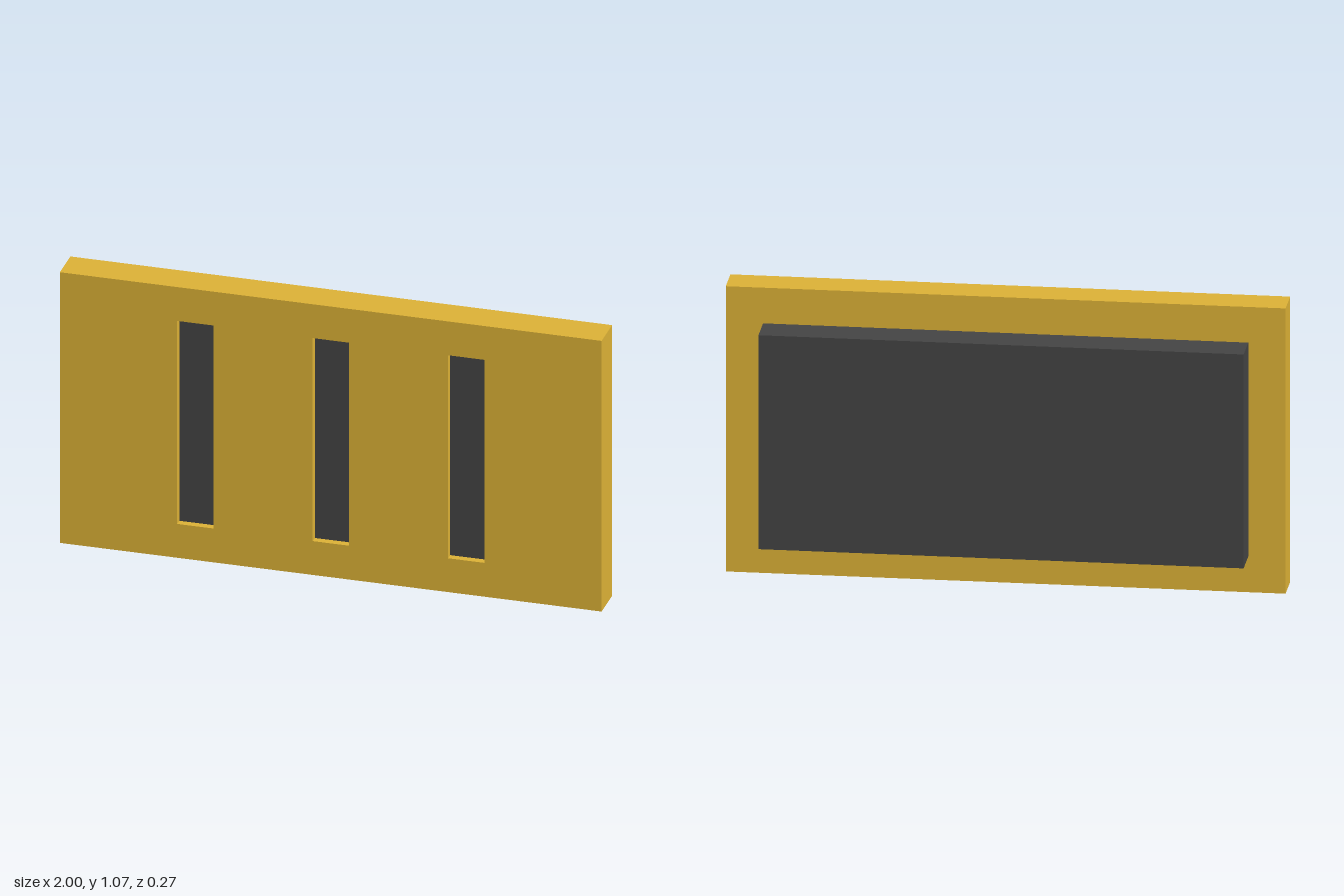
import * as THREE from 'three';

const U = 2 / 15;          // base unit: plate thickness, slot width and margin
const W = 15 * U, H = 8 * U;
const SLOT_H = 6 * U;
const RECESS = 0.2 * U;    // depth of the open slot in front of its bar

// Rectangle outline from its lower-left corner
function rect(target, x, y, w, h) {
  target.moveTo(x, y);
  target.lineTo(x + w, y);
  target.lineTo(x + w, y + h);
  target.lineTo(x, y + h);
  target.closePath();
  return target;
}

export function createModel() {
  const group = new THREE.Group();
  const yellow = new THREE.MeshStandardMaterial({ color: 0xddb236 });
  const dark = new THREE.MeshStandardMaterial({ color: 0x444444 });

  function add(name, geometry, material, x, y, z) {
    const mesh = new THREE.Mesh(geometry, material);
    mesh.name = name;
    mesh.position.set(x, y, z);
    group.add(mesh);
  }

  const slotCentres = [-0.5, 0, 0.5];

  // Front plate pierced by three upright slots
  const outline = rect(new THREE.Shape(), -W / 2, 0, W, H);
  for (const x of slotCentres) {
    outline.holes.push(rect(new THREE.Path(), x - U / 2, U, U, SLOT_H));
  }
  const plate = new THREE.ExtrudeGeometry(outline, { depth: U, bevelEnabled: false });
  add('frontPlate', plate, yellow, 0, 0, 0);

  // Block behind the plate
  add('backBlock', new THREE.BoxGeometry(13 * U, SLOT_H, U), dark, 0, H / 2, -U / 2);

  // Bars reaching from the block into the slots, just short of the front
  const barDepth = U - RECESS;
  for (const x of slotCentres) {
    add('slotBar', new THREE.BoxGeometry(U, SLOT_H, barDepth), dark, x, H / 2, barDepth / 2);
  }

  return group;
}
